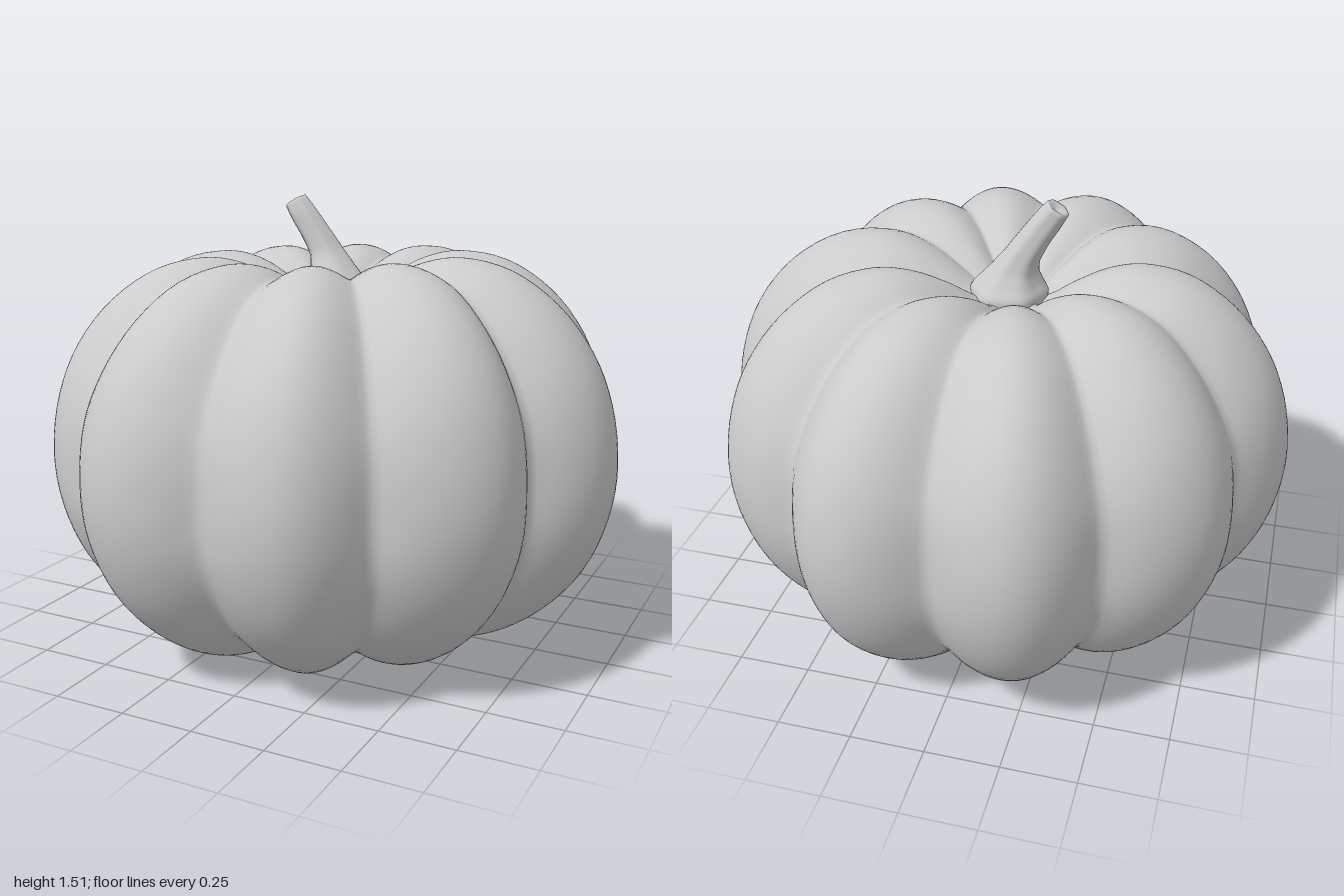
import * as THREE from 'three';

// Smooth closed skin through rings listed from top to bottom; point(i, angle) gives a Vector3.
function loft(name, rows, cols, point) {
  const pos = [], index = [];
  for (let i = 0; i < rows; i++)
    for (let j = 0; j < cols; j++) pos.push(...point(i, (j / cols) * Math.PI * 2).toArray());
  for (let i = 0; i < rows - 1; i++)
    for (let j = 0; j < cols; j++) {
      const a = i * cols + j, b = i * cols + ((j + 1) % cols);
      index.push(a, b, a + cols, b, b + cols, a + cols);
    }
  const geo = new THREE.BufferGeometry();
  geo.setAttribute('position', new THREE.Float32BufferAttribute(pos, 3));
  geo.setIndex(index);
  geo.computeVertexNormals();
  const mesh = new THREE.Mesh(geo, new THREE.MeshStandardMaterial({ color: 0xcccccc, roughness: 0.8 }));
  mesh.name = name;
  return mesh;
}

const spline = (pts) => new THREE.CatmullRomCurve3(pts.map(([x, y, z = 0]) => new THREE.Vector3(x, y, z)));

// Smooth periodic lookup in a ring of values
function around(values, u) {
  const n = values.length, k = Math.floor(u), f = u - k;
  const s = f * f * (3 - 2 * f);
  return values[((k % n) + n) % n] * (1 - s) + values[(((k + 1) % n) + n) % n] * s;
}

function makeBody() {
  // Matching profiles (radius, height) along a rib crest and along a groove
  const crest = spline([[0, 1.17], [0.12, 1.19], [0.22, 1.255], [0.34, 1.315], [0.46, 1.337], [0.62, 1.305],
    [0.78, 1.2], [0.9, 1.05], [0.97, 0.88], [1, 0.68], [0.98, 0.5], [0.91, 0.32], [0.79, 0.17],
    [0.64, 0.06], [0.5, 0.01], [0.36, 0.015], [0.22, 0.055], [0.12, 0.085], [0, 0.095]]);
  const groove = spline([[0, 1.17], [0.11, 1.175], [0.2, 1.215], [0.31, 1.265], [0.44, 1.288], [0.58, 1.25],
    [0.71, 1.14], [0.81, 1.0], [0.87, 0.86], [0.89, 0.68], [0.88, 0.5], [0.82, 0.35], [0.72, 0.21],
    [0.58, 0.105], [0.45, 0.05], [0.33, 0.045], [0.21, 0.07], [0.12, 0.088], [0, 0.095]]);
  // Slightly uneven size of each rib and groove, and sideways drift of each groove in degrees
  const crestSize = [0.99, 0.975, 1.01, 1.035, 0.995, 1, 1, 1.035, 1.03, 0.985];
  const grooveSize = [0.95, 1.0, 1.03, 1.06, 1.0, 1.015, 1.02, 1.02, 1.01, 0.98];
  const grooveDrift = [2, 3.4, 0, -0.5, 0.4, 2.4, 2.7, 0, -2.3, -2.1];
  const rows = 73, step = Math.PI / 5, soft = 0.03;
  return loft('pumpkinBody', rows, 240, (i, a) => {
    const t = i / (rows - 1), u = a / step;
    const c = crest.getPoint(t), g = groove.getPoint(t);
    const wave = Math.sqrt(Math.cos(5 * a) ** 2 + soft) - Math.sqrt(soft);
    const bulge = Math.pow(wave / (Math.sqrt(1 + soft) - Math.sqrt(soft)), 0.82);
    const rc = c.x * around(crestSize, u), rg = g.x * around(grooveSize, u - 0.5);
    const r = rg + (rc - rg) * bulge;
    const angle = a + THREE.MathUtils.degToRad(around(grooveDrift, u - 0.5));
    // The shoulders drop a little towards the back right
    const drop = 0.017 * (1 - Math.cos(a - Math.PI / 4)) * Math.min(1, r / 0.5) * Math.max(0, (c.y - 0.7) / 0.63);
    const y = g.y + (c.y - g.y) * bulge - drop;
    // The hollows at both ends sit a little off centre
    const pull = -0.05 * Math.max(0, 1 - r) ** 1.5;
    return new THREE.Vector3(r * Math.cos(angle) + pull, y, r * Math.sin(angle) + pull);
  });
}

function makeStem() {
  // Centre line and thickness from the cut tip to the flared foot
  const path = spline([[-0.19, 1.497, -0.04], [-0.16, 1.455, -0.04], [-0.115, 1.39, -0.045], [-0.075, 1.325, -0.05],
    [-0.05, 1.275, -0.045], [-0.035, 1.235, -0.04], [-0.03, 1.195, -0.04], [-0.03, 1.15, -0.04]]);
  const size = spline([[0.04, 0], [0.046, 0], [0.051, 0], [0.06, 0], [0.08, 0], [0.106, 0], [0.128, 0], [0.125, 0]]);
  const n = 28;
  return loft('stem', n + 3, 36, (i, a) => {
    const t = Math.max(0, i - 2) / n;
    const p = path.getPoint(t);
    // The first two rings form the shallow dished cut
    const r = size.getPoint(t).x * (i === 0 ? 0 : i === 1 ? 0.75 : 1) * (1 + 0.035 * Math.cos(6 * a + 0.5));
    const lean = 0.56 * Math.max(0, 1 - t * 1.5);
    const dip = i === 0 ? 0.012 : 0;
    return new THREE.Vector3(
      p.x + r * Math.cos(a) * Math.cos(lean) + dip * Math.sin(lean),
      p.y + r * Math.cos(a) * Math.sin(lean) - dip * Math.cos(lean),
      p.z + r * Math.sin(a));
  });
}

function makeScar() {
  // Ragged blossom scar with a nub, under the body
  const rings = [[0.1, 0.11], [0.13, 0.075], [0.125, 0.06], [0.085, 0.075], [0.05, 0.07], [0.045, 0.04], [0.035, 0.02], [0, 0.015]];
  const scar = loft('blossomScar', rings.length, 36, (i, a) => {
    const [r, y] = rings[i], k = r * (1 + 0.1 * Math.cos(6 * a));
    return new THREE.Vector3(k * Math.cos(a), y, k * Math.sin(a));
  });
  scar.position.set(-0.055, 0, -0.055);
  return scar;
}

export function createModel() {
  const group = new THREE.Group();
  group.name = 'pumpkin';
  group.add(makeBody(), makeStem(), makeScar());
  return group;
}
